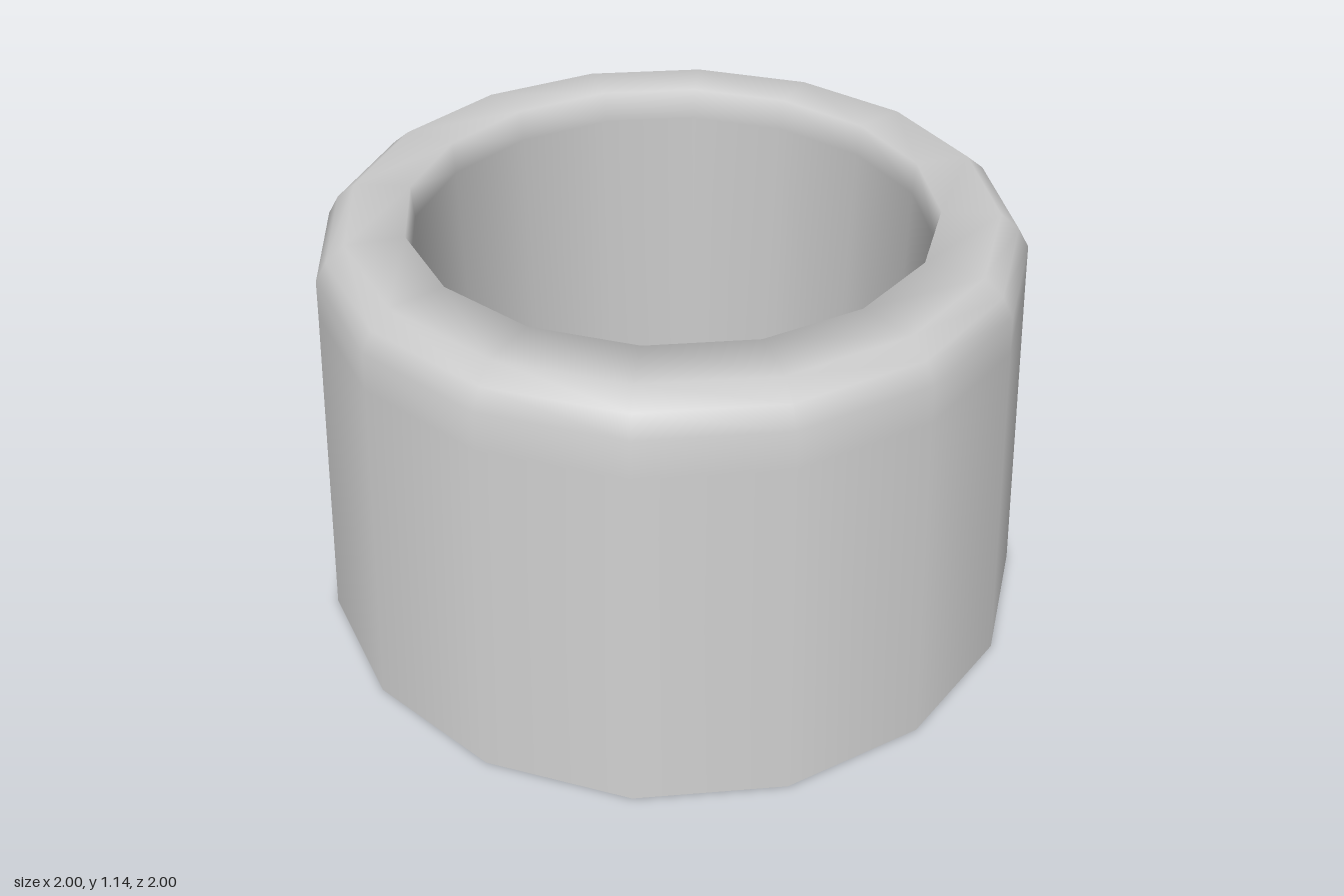
import * as THREE from 'three';

export function createModel() {
  const group = new THREE.Group();
  group.name = 'collar';

  // Profile: tapered outer wall, rounded lip, then the straight inner bore; open underneath
  const profile = [
    [1, 0], [0.927, 0.95], [0.92, 1.05], [0.89, 1.1], [0.84, 1.14],
    [0.69, 1.14], [0.686, 1.05], [0.683, 0],
  ].map(([r, y]) => new THREE.Vector2(r, y));

  // Sixteen sides with smooth normals; both faces show because the shell is thin
  const shell = new THREE.Mesh(
    new THREE.LatheGeometry(profile, 16),
    new THREE.MeshStandardMaterial({ color: 0xcccccc, side: THREE.DoubleSide }),
  );
  shell.name = 'collarShell';
  group.add(shell);
  return group;
}
